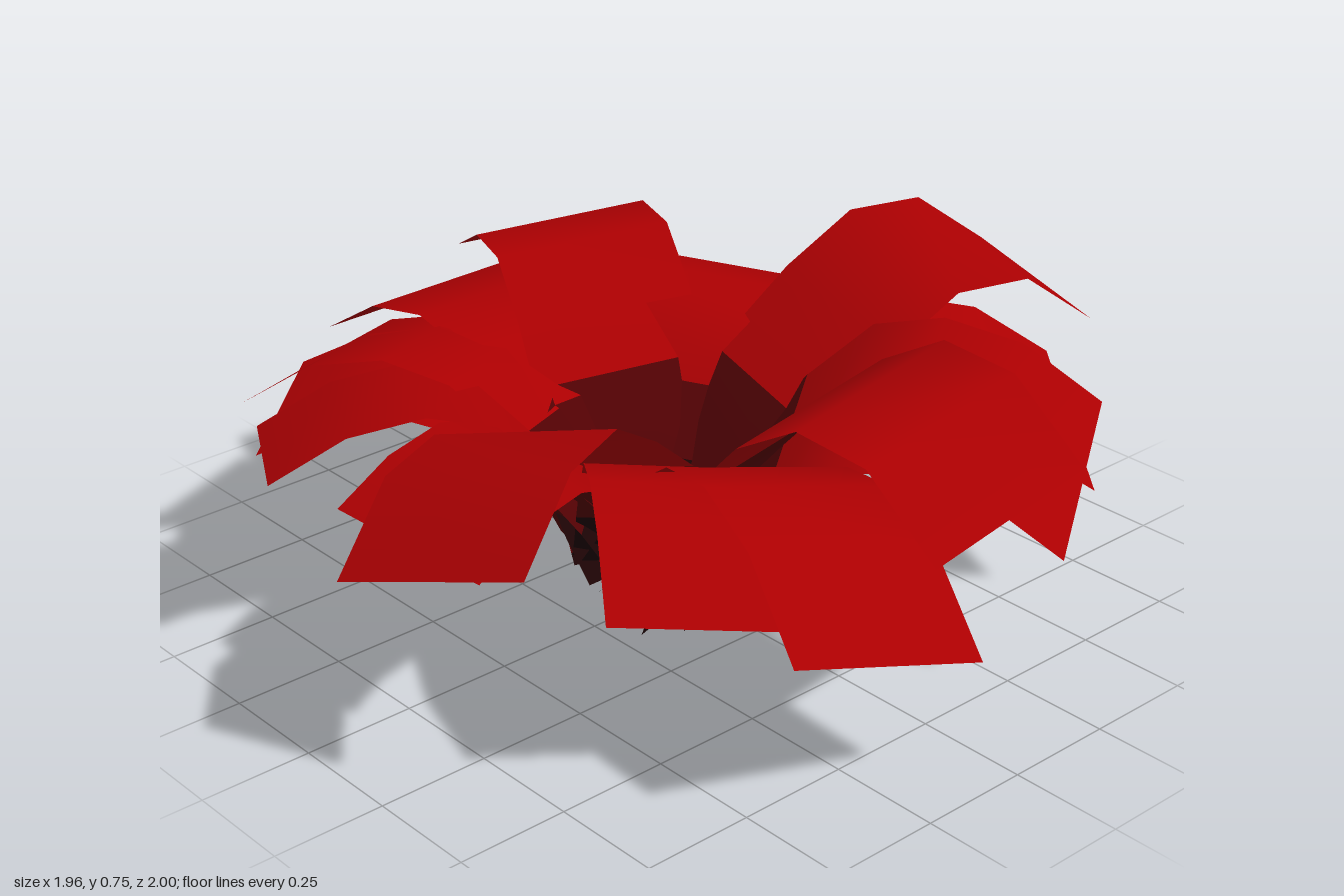
import * as THREE from 'three';

function paint(name, color) {
  const m = new THREE.MeshStandardMaterial({ color, side: THREE.DoubleSide });
  m.name = name;
  return m;
}
const petalRed = paint('petalRed', 0xab0002);
const heartDark = paint('heartDarkRed', 0x520204);
const footBlack = paint('footBlack', 0x1c0405);

const HALF_WIDTH = 0.205;

// A strip swept along a radial profile of [radius, height] points;
// roll tilts it sideways about its own radial line.
function strip(name, points, angle, roll, material) {
  const c = Math.cos(angle), s = Math.sin(angle);
  const pos = [], index = [];
  points.forEach(([r, y], i) => {
    for (const w of [-HALF_WIDTH, HALF_WIDTH]) {
      pos.push(r * c - w * s, y + w * roll, r * s + w * c);
    }
    if (i > 0) {
      const a = 2 * (i - 1);
      index.push(a, a + 1, a + 2, a + 1, a + 3, a + 2);
    }
  });
  const g = new THREE.BufferGeometry();
  g.setAttribute('position', new THREE.Float32BufferAttribute(pos, 3));
  g.setIndex(index);
  g.computeVertexNormals();
  const mesh = new THREE.Mesh(g, material);
  mesh.name = name;
  return mesh;
}

// Petal of a black foot, a dark heart and a red blade that arches and droops
function petal(name, inner, degrees, length, peak, tip, roll) {
  const angle = THREE.MathUtils.degToRad(degrees);
  const collar = [0.265, inner ? 0.42 : 0.385];
  const foot = inner
    ? [[0.013, 0.105], [0.035, 0.125]]
    : [[0.013, 0.08], [0.09, 0.165], [0.15, 0.25]];
  const heart = inner
    ? [[0.035, 0.125], [0.1, 0.195], [0.17, 0.3], collar]
    : [[0.15, 0.25], collar];
  const blade = [
    collar,
    [length * 0.45, peak - (inner ? 0.1 : 0.035)],
    [length * 0.62, peak],
    [length * 0.81, peak - (peak - tip) * (inner ? 0.06 : 0.25)],
    [length, tip],
  ];
  const group = new THREE.Group();
  group.name = name;
  group.add(
    strip('foot', foot, angle, roll, footBlack),
    strip('heart', heart, angle, roll, heartDark),
    strip('blade', blade, angle, roll, petalRed),
  );
  return group;
}

export function createModel() {
  const flower = new THREE.Group();
  flower.name = 'flower';

  // degrees (from +x towards +z), length, peak height, tip height, roll
  const innerPetals = [
    [0, 0.99, 0.715, 0.57, -0.17],
    [-80, 1.01, 0.675, 0.525, -0.14],
    [-159, 0.85, 0.635, 0.545, 0.07],
    [68.5, 0.96, 0.65, 0.5, -0.25],
  ];
  const outerPetals = [
    [-31, 0.91, 0.56, 0.41, -0.41],
    [-57, 0.91, 0.51, 0.35, -0.36],
    [-98.5, 0.79, 0.5, 0.33, 0.1],
    [-126, 0.8, 0.55, 0.42, -0.1],
    [180, 0.96, 0.53, 0.38, 0.01],
    [151, 0.91, 0.53, 0.375, -0.15],
    [139, 0.85, 0.5, 0.395, 0.08],
    [120, 0.86, 0.54, 0.42, -0.15],
    [84, 0.75, 0.5, 0.41, 0.05],
    [35, 0.845, 0.53, 0.385, 0.1],
    [16, 0.985, 0.54, 0.335, 0.22],
  ];
  innerPetals.forEach((p, i) => flower.add(petal(`innerPetal${i + 1}`, true, ...p)));
  outerPetals.forEach((p, i) => flower.add(petal(`outerPetal${i + 1}`, false, ...p)));

  flower.position.set(-0.02, 0, 0.03);
  const model = new THREE.Group();
  model.name = 'flowerModel';
  model.add(flower);
  return model;
}
